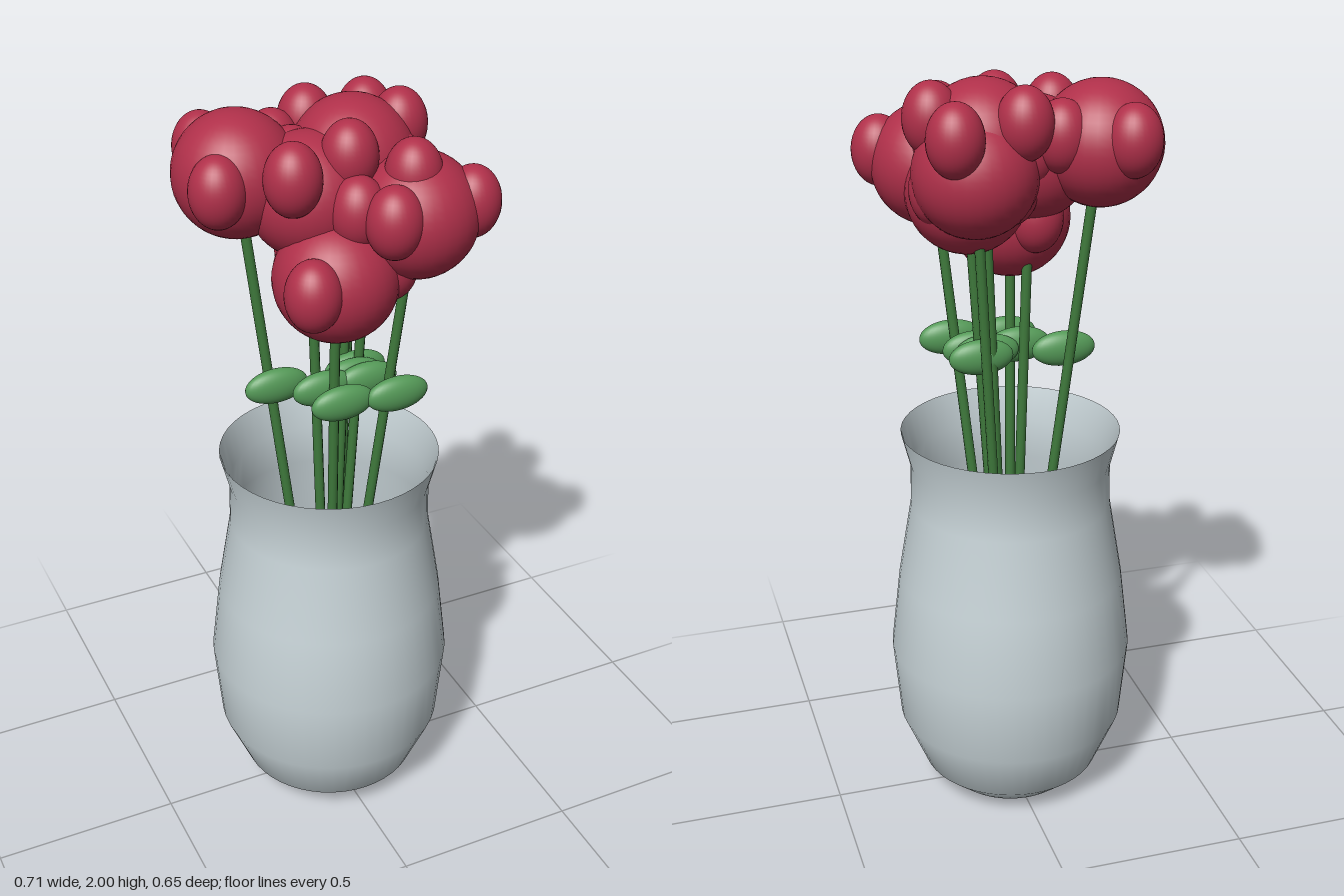
import * as THREE from 'three';

const mat = (color, extra = {}) => new THREE.MeshStandardMaterial({ color, ...extra });

export function createModel() {
  const model = new THREE.Group();
  const red = mat(0xb0304a), stemGreen = mat(0x3f7a3c), leafGreen = mat(0x559a58);
  const ball = new THREE.SphereGeometry(1, 32, 24);
  const up = new THREE.Vector3(0, 1, 0);

  const ellipsoid = (name, material, pos, size, parent) => {
    const m = new THREE.Mesh(ball, material);
    m.name = name;
    m.position.copy(pos);
    m.scale.set(...size);
    parent.add(m);
  };

  // Open vase, turned from a simple profile
  const profile = [[0, 0], [0.175, 0.012], [0.245, 0.075], [0.308, 0.225], [0.327, 0.437],
    [0.302, 0.65], [0.266, 0.865], [0.264, 0.975], [0.288, 1.07]];
  const vase = new THREE.Mesh(
    new THREE.LatheGeometry(profile.map(p => new THREE.Vector2(...p)), 48),
    mat(0xc8d4d8, { side: THREE.DoubleSide }));
  vase.name = 'vase';
  model.add(vase);

  // Flowers: bloom centre and the centres of its three outer petals
  const flowers = [
    { c: [-0.2, 1.835, -0.095], p: [[-0.24, 1.865, -0.217], [-0.285, 1.84, 0.005], [-0.065, 1.85, -0.07]] },
    { c: [-0.05, 1.79, -0.005], p: [[-0.137, 1.88, 0.1], [-0.085, 1.87, -0.145], [0.09, 1.84, 0.02]] },
    { c: [0.083, 1.845, -0.048], p: [[0.21, 1.91, -0.05], [0.013, 1.91, -0.165], [0.02, 1.9, 0.07]] },
    { c: [0.165, 1.755, 0.135], p: [[0.288, 1.785, 0.185], [0.065, 1.785, 0.22], [0.145, 1.865, 0.155]] },
    { c: [-0.03, 1.613, 0.105], p: [[-0.132, 1.63, 0.2], [-0.06, 1.64, -0.02], [0.095, 1.64, 0.14]] },
    { c: [0.115, 1.78, -0.095], p: [[0.19, 1.89, -0.2], [0.17, 1.83, 0.02], [-0.015, 1.83, -0.105]] },
    { c: [0.11, 1.715, 0.0], p: [[0.01, 1.79, 0.14], [0.2, 1.74, -0.06], [0.03, 1.74, -0.1]] },
  ];
  const root = new THREE.Vector3(0, 0.03, 0);

  for (const { c, p } of flowers) {
    const flower = new THREE.Group();
    flower.name = 'flower';
    model.add(flower);
    const centre = new THREE.Vector3(...c);
    ellipsoid('bloom', red, centre, [0.155, 0.155, 0.155], flower);
    for (const q of p) ellipsoid('petal', red, new THREE.Vector3(...q), [0.07, 0.09, 0.07], flower);

    // Straight stem fanning out from the vase floor
    const dir = centre.clone().sub(root);
    const stem = new THREE.Mesh(new THREE.CylinderGeometry(0.013, 0.013, dir.length(), 10), stemGreen);
    stem.name = 'stem';
    stem.position.copy(root).addScaledVector(dir, 0.5);
    stem.quaternion.setFromUnitVectors(up, dir.clone().normalize());
    flower.add(stem);

    // Flat leaf just in front of the stem
    const leafPos = root.clone().addScaledVector(dir, (1.283 - root.y) / dir.y);
    leafPos.z += 0.05;
    ellipsoid('leaf', leafGreen, leafPos, [0.085, 0.047, 0.03], flower);
  }
  return model;
}
